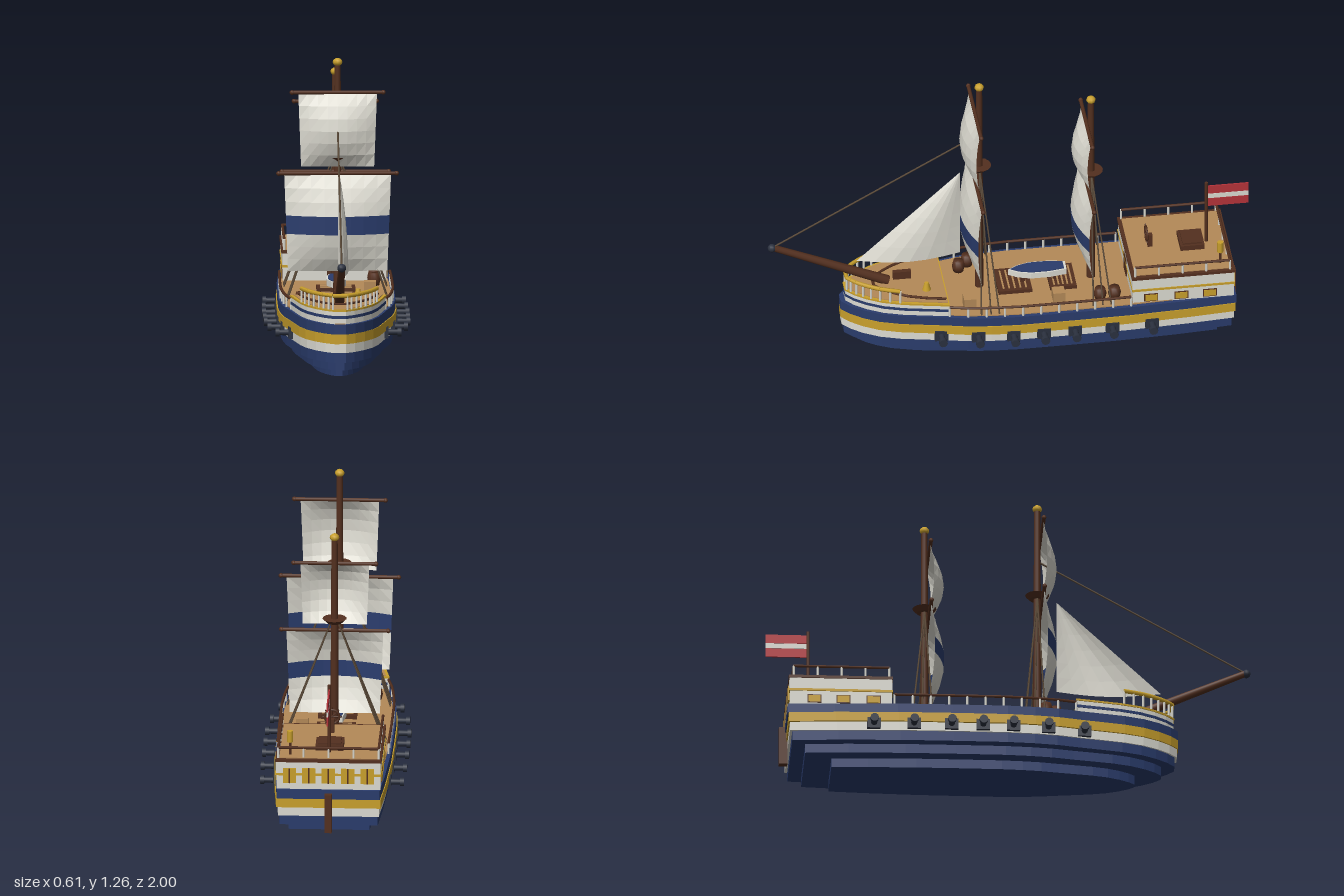
import * as THREE from 'three';

const mat = (name, color) => Object.assign(new THREE.MeshStandardMaterial({ color }), { name });
const navy = mat('navy paint', 0x2a3c6c), gold = mat('gold trim', 0xc9a02c), white = mat('white paint', 0xdddcd3);
const dark = mat('dark wood', 0x54301f), wood = mat('deck wood', 0xb48a58), iron = mat('iron', 0x2b313f);
const red = mat('flag red', 0xb5333a), rope = mat('rope', 0x5b4a38), canvas = mat('sail canvas', 0xdedcd2);
canvas.side = THREE.DoubleSide;
const stripeCloth = mat('sail stripe', 0x2a3c6d);
stripeCloth.side = THREE.DoubleSide;

const V = (x, y, z) => new THREE.Vector3(x, y, z);

// Hull plan: half-width factor along the length, stern 0 to bow 1
const PLAN = [[0, .88], [.12, .94], [.28, .99], [.42, 1], [.56, 1], [.63, .97], [.69, .92], [.75, .83],
  [.81, .75], [.86, .68], [.91, .57], [.95, .42], [.98, .26], [1, .1]];
function halfWidth(z, hw = .245, zb = -.92, zf = .7) {
  const t = THREE.MathUtils.clamp((z - zb) / (zf - zb), 0, 1);
  const i = Math.max(1, PLAN.findIndex(p => p[0] >= t));
  const [a, b] = [PLAN[i - 1], PLAN[i]];
  return hw * THREE.MathUtils.lerp(a[1], b[1], (t - a[0]) / (b[0] - a[0]));
}

// Hull-shaped slab between two heights, optionally cut off at z = from
function slab(y0, y1, hw, zb, zf, from = zb) {
  const zs = [from, ...PLAN.map(p => zb + p[0] * (zf - zb)).filter(z => z > from + .001)];
  const pts = zs.map(z => [halfWidth(z, hw, zb, zf), z]);
  const loop = [...pts, ...pts.map(([x, z]) => [-x, z]).reverse()];
  const shape = new THREE.Shape(loop.map(([x, z]) => new THREE.Vector2(x, -z)));
  return new THREE.ExtrudeGeometry(shape, { depth: y1 - y0, bevelEnabled: false }).rotateX(-Math.PI / 2).translate(0, y0, 0);
}

function flat(geo) {
  const g = geo.toNonIndexed();
  g.computeVertexNormals();
  return g;
}

export function createModel() {
  const ship = new THREE.Group();
  ship.name = 'sailingShip';
  const add = (name, geo, m) => {
    const mesh = new THREE.Mesh(geo, m);
    mesh.name = name;
    ship.add(mesh);
    return mesh;
  };
  const box = (name, m, w, h, d, x, y, z) => add(name, new THREE.BoxGeometry(w, h, d).translate(x, y, z), m);
  const rod = (name, m, a, b, r0, r1 = r0, n = 8) => {
    const mesh = add(name, new THREE.CylinderGeometry(r1, r0, a.distanceTo(b), n), m);
    mesh.position.copy(a).add(b).multiplyScalar(.5);
    mesh.quaternion.setFromUnitVectors(V(0, 1, 0), b.clone().sub(a).normalize());
    return mesh;
  };
  const rail = (name, pts, r, m, base, postMat) => pts.forEach((p, i) => {
    if (i) rod(name, m, pts[i - 1], p, r, r, 6);
    if (postMat) rod(name + 'Post', postMat, V(p.x, base, p.z), p, .005, .005, 6);
  });

  // Stepped hull
  add('keelStep', slab(0, .04, .135, -.735, .52), navy);
  add('lowerHullStep', slab(.04, .08, .19, -.845, .63), navy);
  add('upperHullStep', slab(.08, .122, .23, -.9, .685), navy);
  add('whiteStrake', slab(.122, .16, .236, -.91, .695), white);
  add('goldStrake', slab(.16, .2, .245, -.915, .7), gold);
  add('navyStrake', slab(.2, .24, .241, -.92, .7), navy);
  add('mainDeck', slab(.24, .244, .225, -.9, .68), wood);
  box('rudder', dark, .03, .165, .035, 0, .143, -.928);

  // Forecastle
  add('forecastleLower', slab(.24, .262, .232, -.92, .68, .27), white);
  add('forecastleStripe', slab(.262, .274, .234, -.92, .682, .27), navy);
  add('forecastleUpper', slab(.274, .292, .232, -.92, .68, .27), white);
  add('forecastleTrim', slab(.292, .3, .236, -.92, .684, .27), gold);
  add('forecastleDeck', slab(.3, .303, .222, -.92, .67, .275), wood);
  const bow = (hw, zf, y, zs) => [...zs.map(z => V(-halfWidth(z, hw, -.92, zf), y, z)),
    ...zs.slice().reverse().map(z => V(halfWidth(z, hw, -.92, zf), y, z))];
  rail('bowRail', bow(.235, .68, .358, [.47, .51, .55, .585, .615, .64, .66, .675]), .009, gold, .3, white);
  rail('deckCoaming', bow(.215, .565, .306, [.28, .36, .43, .48, .52, .55, .562]), .006, dark);
  box('bowBitt', dark, .02, .035, .075, -.01, .325, .44);
  add('bell', new THREE.CylinderGeometry(.009, .018, .035, 10).translate(.08, .32, .35), gold);

  // Quarterdeck
  add('cabinLower', new THREE.BoxGeometry(.428, .06, .42).translate(0, .27, -.7), white);
  add('cabinBand', new THREE.BoxGeometry(.436, .01, .428).translate(0, .305, -.7), gold);
  add('cabinUpper', new THREE.BoxGeometry(.43, .05, .424).translate(0, .335, -.7), white);
  add('cabinTrim', new THREE.BoxGeometry(.438, .012, .43).translate(0, .364, -.7), dark);
  add('quarterdeck', new THREE.BoxGeometry(.405, .004, .4).translate(0, .371, -.7), wood);
  for (const s of [-1, 1]) for (const z of [-.565, -.69, -.81]) {
    box('sideWindowFrame', dark, .004, .037, .058, s * .2145, .265, z);
    box('sideWindow', gold, .006, .029, .05, s * .2155, .265, z);
  }
  for (let i = -2; i <= 2; i++) {
    box('sternWindow', gold, .055, .065, .006, i * .08, .3, -.914);
    box('sternWindowBar', dark, .006, .065, .008, i * .08, .3, -.915);
  }
  box('cabinDoor', dark, .06, .085, .006, 0, .29, -.489);
  const railPts = [];
  for (let i = 0; i <= 4; i++) railPts.push(V(-.207, .415, -.5 - i * .0985));
  for (let i = 1; i < 4; i++) railPts.push(V(-.207 + i * .1035, .415, -.894));
  for (let i = 4; i >= 0; i--) railPts.push(V(.207, .415, -.5 - i * .0985));
  rail('quarterdeckRail', railPts, .006, dark, .365, white);
  box('skylight', dark, .115, .025, .1, 0, .383, -.76);
  box('skylightTop', dark, .095, .008, .08, 0, .399, -.76);

  // Steering wheel
  box('wheelStand', dark, .02, .06, .02, 0, .4, -.59);
  add('steeringWheel', new THREE.TorusGeometry(.03, .005, 6, 16).translate(0, .435, -.575), dark);
  for (let i = 0; i < 4; i++) {
    const a = i * Math.PI / 4, c = Math.cos(a) * .04, s = Math.sin(a) * .04;
    rod('wheelSpoke', dark, V(-c, .435 - s, -.575), V(c, .435 + s, -.575), .003, .003, 5);
  }

  // Flag and stern lantern
  rod('flagPole', dark, V(0, .365, -.825), V(0, .667, -.825), .007);
  [[.57, red], [.6, white], [.63, red]].forEach(([y, m], i) =>
    box('flagStripe', m, .006, i === 1 ? .022 : .038, .17, 0, y + (i - 1) * .001, -.915));
  rod('lanternPost', dark, V(.16, .365, -.86), V(.16, .43, -.86), .005);
  add('lantern', new THREE.CylinderGeometry(.013, .013, .048, 8).translate(.16, .452, -.86), gold);

  // Mid-deck rails, cannons and ports, mirrored
  for (const s of [-1, 1]) {
    const pts = [];
    for (let i = 0; i <= 10; i++) {
      const z = -.48 + i * .075;
      pts.push(V(s * (halfWidth(z) - .014), .285, z));
    }
    rail('deckRail', pts, .006, dark, .24, white);
    for (const z of [-.565, -.4, -.245, -.115, .01, .155, .305]) {
      const x = halfWidth(z);
      box('gunPort', iron, .03, .046, .055, s * (x - .01), .15, z);
      rod('cannonBarrel', iron, V(s * (x - .02), .15, z), V(s * (x + .056), .15, z), .014, .011, 10);
      rod('cannonMuzzle', iron, V(s * (x + .042), .15, z), V(s * (x + .058), .15, z), .018, .018, 10);
    }
  }

  // Hatches with gratings
  for (const [z, d] of [[-.22, .11], [-.02, .14]]) {
    box('hatch', dark, .16, .016, d, 0, .252, z);
    for (let i = 0; i < 5; i++) box('hatchSlat', wood, .13, .004, .007, 0, .261, z + (i - 2) * d / 6);
  }

  // Ship's boat on chocks
  const plan = (w, l) => new THREE.Shape([[-w * .7, -l], [w * .7, -l], [w, -l * .4], [w, l * .25], [w * .6, l * .7], [0, l],
    [-w * .6, l * .7], [-w, l * .25], [-w, -l * .4]].map(([x, z]) => new THREE.Vector2(x, -z)));
  const boat = (name, w, l, h, y, m) => add(name, new THREE.ExtrudeGeometry(plan(w, l), { depth: h, bevelEnabled: false })
    .rotateX(-Math.PI / 2).translate(0, y, -.12), m);
  boat('boatHull', .04, .12, .026, .284, white);
  boat('boatCover', .034, .11, .004, .309, navy);
  for (const z of [-.19, -.06]) box('boatChock', dark, .05, .042, .014, 0, .264, z);

  // Barrels and crate
  for (const [x, z] of [[.16, -.42], [.16, -.36], [-.15, .15], [-.115, .19]]) {
    const profile = [[0, 0], [.021, 0], [.027, .025], [.021, .052], [0, .052]].map(p => new THREE.Vector2(...p));
    add('barrel', new THREE.LatheGeometry(profile, 12).translate(x, .243, z), dark);
  }
  box('crate', wood, .05, .05, .05, .14, .268, .18);
  box('crate', wood, .05, .045, .05, .14, .265, -.3 + .11);

  // Square sail bulging forward, with an optional coloured stripe
  function sail(name, zm, yTop, yBot, wTop, wBot, bulge, bands) {
    for (const [v0, v1, rows, m] of bands) {
      const g = new THREE.PlaneGeometry(1, 1, 8, rows), p = g.attributes.position;
      for (let i = 0; i < p.count; i++) {
        const u = p.getX(i) * 2, v = THREE.MathUtils.lerp(v1, v0, p.getY(i) + .5);
        const belly = bulge * Math.pow(Math.max(0, Math.sin(Math.PI * v)), .8) * (1 - .75 * u * u);
        p.setXYZ(i, u * THREE.MathUtils.lerp(wTop, wBot, v), THREE.MathUtils.lerp(yTop, yBot, v), zm + .018 + belly);
      }
      add(name, flat(g), m);
    }
  }
  const plain = [[0, 1, 6, canvas]];
  const striped = [[0, .42, 3, canvas], [.42, .61, 1, stripeCloth], [.61, 1, 3, canvas]];

  // Masts: z, top, lower sail [top, bottom, width, yard], top sail likewise, crow's nest height
  for (const [z, top, lo, up, nest] of [
    [.12, 1.235, [.783, .38, .22, .243], [1.12, .815, .162, .188], .845],
    [-.345, 1.125, [.72, .36, .2, .22], [1.013, .75, .142, .17], .773]]) {
    rod('mast', dark, V(0, .24, z), V(0, top, z), .018, .013, 12);
    add('mastFinial', new THREE.SphereGeometry(.02, 8, 6).scale(1, .85, 1).translate(0, top + .012, z), gold);
    add('crowsNest', new THREE.CylinderGeometry(.05, .032, .018, 14).translate(0, nest, z), dark);
    [[lo, striped, .064], [up, plain, .062]].forEach(([[yt, yb, w, yard], bands, bulge]) => {
      rod('yard', dark, V(-yard, yt + .003, z + .018), V(yard, yt + .003, z + .018), .008);
      for (const s of [-1, 1]) add('yardEnd', new THREE.SphereGeometry(.01, 8, 6).translate(s * yard, yt + .003, z + .018), dark);
      sail('squareSail', z, yt, yb, w, w * .93, bulge, bands);
    });
    for (const s of [-1, 1]) for (const dz of [-.055, -.02, .02])
      rod('shroud', rope, V(s * .212, .245, z + dz), V(s * .012, nest, z), .0035, .0035, 5);
  }

  // Bowsprit and forestay
  rod('bowsprit', dark, V(0, .308, .5), V(0, .52, .975), .021, .014, 10);
  add('bowspritCap', new THREE.SphereGeometry(.018, 10, 8).translate(0, .52, .982), iron);
  rod('forestay', rope, V(0, .525, .975), V(0, 1.01, .12), .004, .004, 5);

  // Triangular jib bulging to one side
  const jib = new THREE.PlaneGeometry(1, 1, 6, 6), jp = jib.attributes.position;
  for (let i = 0; i < jp.count; i++) {
    const u = jp.getX(i) + .5, v = jp.getY(i) + .5;
    jp.setXYZ(i, .038 * Math.sin(Math.PI * u) * (1 - v * v) + .001, .42 + .405 * v, .2 + .43 * u * (1 - v));
  }
  add('jib', flat(jib), canvas);

  return ship;
}
